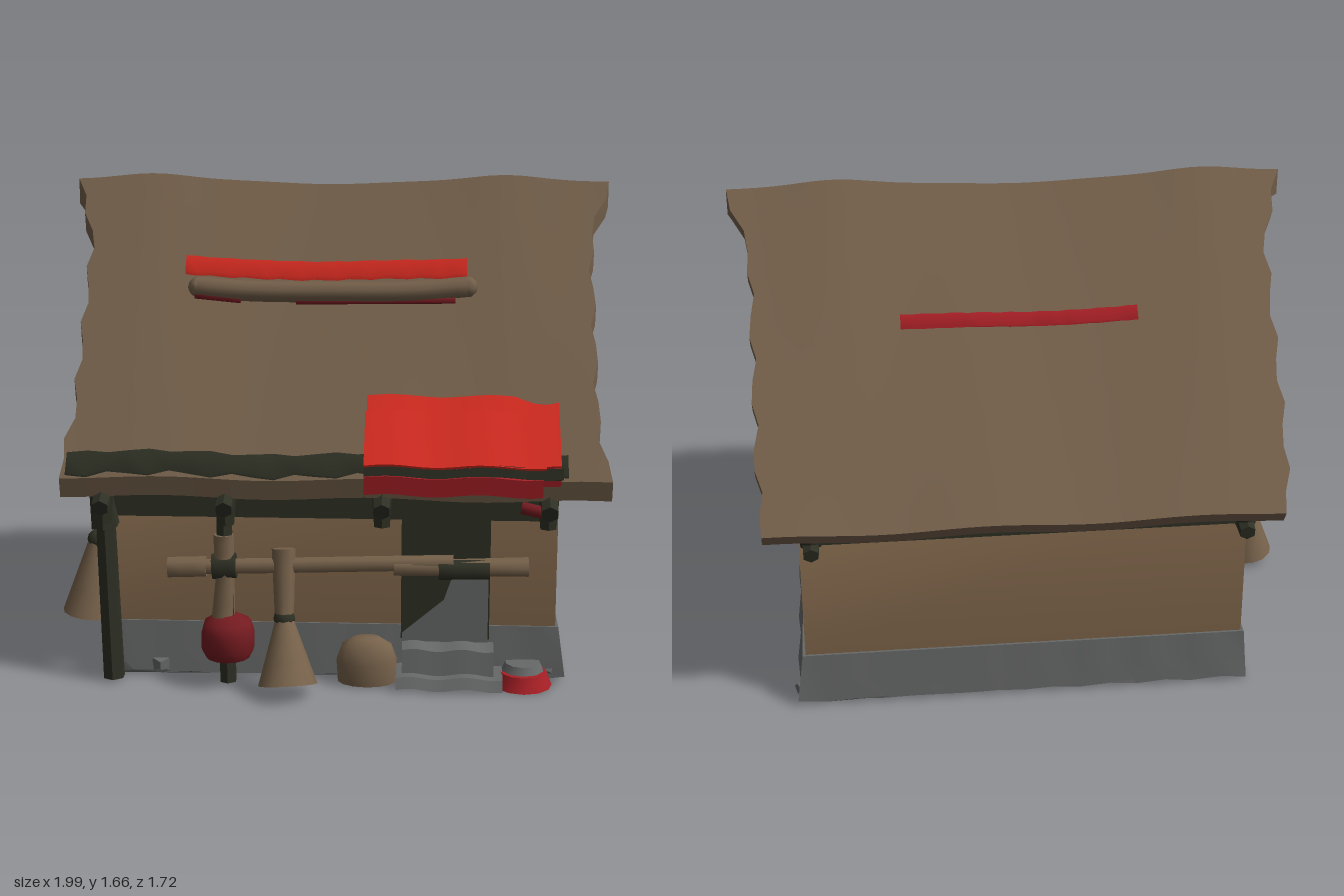
import * as THREE from 'three';
import { toCreasedNormals } from 'three/addons/utils/BufferGeometryUtils.js';

const mat = (name, color) => {
  const m = new THREE.MeshStandardMaterial({ color, side: THREE.DoubleSide });
  m.name = name;
  return m;
};

export function createModel() {
  const group = new THREE.Group();
  group.name = 'cottage';
  const thatch = mat('thatch brown', 0x735f4a);
  const plaster = mat('plaster brown', 0x7f654a);
  const wood = mat('light wood', 0x77624b);
  const dark = mat('dark timber', 0x2e3024);
  const stone = mat('stone grey', 0x676968);
  const red = mat('bright red', 0xd02a20);
  const crimson = mat('crimson', 0xa82026);
  const maroon = mat('dark red', 0x741b20);

  const add = (name, geo, material, x = 0, y = 0, z = 0) => {
    const m = new THREE.Mesh(toCreasedNormals(geo, 0.85), material);
    m.name = name;
    m.position.set(x, y, z);
    group.add(m);
    return m;
  };
  const box = (name, material, x, y, z, w, h, d) =>
    add(name, new THREE.BoxGeometry(w, h, d), material, x, y, z);
  const outline = (pts) => pts.map((p) => new THREE.Vector2(...p));
  // Tapered round bar between two points
  const bar = (name, material, a, b, ra, rb = ra, sides = 8) => {
    const p = new THREE.Vector3(...a), q = new THREE.Vector3(...b), d = q.clone().sub(p);
    const m = add(name, new THREE.CylinderGeometry(rb, ra, d.length(), sides, 3), material);
    m.position.copy(p).add(q).multiplyScalar(0.5);
    m.quaternion.setFromUnitVectors(new THREE.Vector3(0, 1, 0), d.normalize());
    return m;
  };
  // Rows of closed cross-sections; each section runs over the top, then back below
  const loft = (rows) => {
    const n = rows[0].length, idx = [];
    rows.slice(1).forEach((_, i) => {
      for (let j = 0; j < n; j++) {
        const a = i * n + j, b = i * n + (j + 1) % n, c = a + n, d = b + n;
        idx.push(a, c, b, b, c, d);
      }
    });
    for (let j = 0; j < n / 2 - 1; j++) {
      for (const [o, flip] of [[0, false], [(rows.length - 1) * n, true]]) {
        const a = o + j, b = o + j + 1, c = o + n - 2 - j, d = o + n - 1 - j;
        if (flip) idx.push(a, c, b, a, d, c); else idx.push(a, b, c, a, c, d);
      }
    }
    const g = new THREE.BufferGeometry();
    g.setAttribute('position', new THREE.Float32BufferAttribute(rows.flat(2), 3));
    g.setIndex(idx);
    return g;
  };

  // Roof rule: height of the slopes and a sagging, peaked ridge line
  const RIDGE = -0.055, FRONT = 0.72, BACK = -0.855;
  const slopeY = (z) => 1.638 - (z > RIDGE ? 1.16 : 1.12) * Math.abs(z - RIDGE);
  const roofY = (x, z) => {
    const s = z > RIDGE ? (z - RIDGE) / (FRONT - RIDGE) : (RIDGE - z) / (RIDGE - BACK);
    const wave = 0.022 * Math.exp(-(((Math.abs(x) - 0.63) / 0.17) ** 2)) - 0.014 * Math.exp(-((x / 0.25) ** 2));
    return slopeY(z) + wave * (1 - s) + 0.006 * Math.sin(x * 9) * s;
  };
  const K = 16, rows = [];
  for (let i = 0; i <= 36; i++) {
    const u = i / 36, top = [], under = [];
    for (let j = -K; j <= K; j++) {
      const s = Math.abs(j) / K;
      const z = j < 0 ? RIDGE + (FRONT - RIDGE) * s : RIDGE + (BACK - RIDGE) * s;
      const ragged = 0.012 * Math.sin(s * 34);
      const flare = 0.09 * Math.max(0, 1 - s * 5);
      // the front eave spreads, the back eave draws in
      const eave = Math.max(0, s * 5 - 4) * (j < 0 ? 0.035 : -0.015);
      const left = -0.83 - flare * 0.8 - eave + ragged;
      const right = 0.922 + flare * 0.8 + eave + ragged;
      const x = left + (right - left) * u, y = roofY(x, z);
      top.push([x, y, z]);
      // blunt front eave, sharper back eave
      under.unshift(j === 0 ? [x, y - 0.09, z] : j < 0 ? [x, y - 0.068, z - 0.014] : [x, y - 0.045, z + 0.03]);
    }
    rows.push([...top, ...under]);
  }
  add('roof', loft(rows), thatch);

  // Strip laid along a roof slope
  const roofStrip = (name, material, x0, x1, z0, z1, lift, thick, wobble = 0) => {
    const out = [];
    for (let i = 0; i <= 24; i++) {
      const x = x0 + (x1 - x0) * i / 24, w = wobble * Math.sin(i * 2.1);
      const a = z0 + w, b = z1 - w * 0.5;
      out.push([[x, roofY(x, a) + lift, a], [x, roofY(x, b) + lift, b],
        [x, roofY(x, b) + lift - thick, b], [x, roofY(x, a) + lift - thick, a]]);
    }
    return add(name, loft(out), material);
  };
  roofStrip('eaveStrip', dark, -0.84, 0.82, 0.712, 0.663, 0.008, 0.008, 0.007);
  roofStrip('frontRoofStripe', red, -0.49, 0.49, 0.212, 0.172, 0.014, 0.02, 0.002);
  roofStrip('backRoofStripe', crimson, -0.37, 0.43, -0.37, -0.4, 0.007, 0.007, 0.001);
  // Roof log with a red lower edge
  const logPath = new THREE.CatmullRomCurve3([[-0.44, 1.298, 0.252], [-0.28, 1.288, 0.262], [0.02, 1.286, 0.263],
    [0.3, 1.29, 0.262], [0.49, 1.306, 0.25]].map((p) => new THREE.Vector3(...p)));
  add('roofLog', new THREE.TubeGeometry(logPath, 24, 0.037, 10), thatch);
  bar('roofLogEdge', maroon, [-0.45, 1.276, 0.264], [-0.29, 1.262, 0.27], 0.018);
  bar('roofLogEdge', maroon, [-0.1, 1.256, 0.278], [0.45, 1.262, 0.275], 0.011);
  for (const s of [0, 1]) {
    const cap = add('logEnd', new THREE.SphereGeometry(0.037, 10, 6), thatch);
    cap.position.copy(logPath.getPoint(s));
  }

  // Bar of any side profile run along x with a gentle sag
  const run = (name, material, x0, x1, section) => {
    const out = [];
    for (let i = 0; i <= 16; i++) {
      const x = x0 + (x1 - x0) * i / 16, sag = 0.005 * Math.sin(i * 0.75);
      out.push(section.map(([z, y]) => [x, y + sag, z]));
    }
    return add(name, loft(out), material);
  };
  // Cloth over the eave: red skin, darker sides, dark front edge and a hanging hem
  run('clothUpper', crimson, 0.155, 0.795, [[0.73, 0.795], [0.515, 0.972], [0.53, 0.92], [0.72, 0.73]]);
  run('clothUpperSkin', red, 0.155, 0.795, [[0.732, 0.802], [0.515, 0.98], [0.515, 0.973], [0.73, 0.796]]);
  run('clothLower', crimson, 0.15, 0.745, [[0.755, 0.792], [0.57, 0.932], [0.57, 0.89], [0.735, 0.765]]);
  run('clothLowerSkin', red, 0.15, 0.745, [[0.757, 0.8], [0.57, 0.94], [0.57, 0.933], [0.755, 0.793]]);
  run('clothDarkEdge', dark, 0.15, 0.8, [[0.744, 0.798], [0.754, 0.8], [0.759, 0.762], [0.744, 0.757]]);
  run('clothHem', crimson, 0.15, 0.735, [[0.763, 0.762], [0.72, 0.77], [0.7, 0.7], [0.757, 0.7]]);

  // Gabled walls
  const gable = new THREE.Shape(outline([[-0.575, 0.18], [-0.575, 0.8], [0.055, 1.55], [0.72, 0.805], [0.73, 0.18]]));
  const walls = add('walls', new THREE.ExtrudeGeometry(gable, { depth: 1.51, bevelEnabled: false }), plaster, -0.71);
  walls.rotation.y = Math.PI / 2;

  // Hollow stone base, flared and rough at the foot
  const ring = (w, d, n) => {
    const corners = [[-w, -d], [w, -d], [w, d], [-w, d]], pts = [];
    corners.forEach(([x, z], c) => {
      const [x2, z2] = corners[(c + 1) % 4];
      for (let i = 0; i < n; i++) pts.push([x + (x2 - x) * i / n, z + (z2 - z) * i / n]);
    });
    return outline(pts);
  };
  const baseShape = new THREE.Shape(ring(0.765, 0.66, 16));
  baseShape.holes.push(new THREE.Path(ring(0.7, 0.6, 12)));
  const baseGeo = new THREE.ExtrudeGeometry(baseShape, { depth: 0.19, steps: 2, bevelEnabled: false });
  baseGeo.rotateX(-Math.PI / 2);
  const bp = baseGeo.attributes.position;
  for (let i = 0; i < bp.count; i++) {
    const x = bp.getX(i), y = bp.getY(i), z = bp.getZ(i), f = 1 - y / 0.19;
    const h = 0.5 + 0.5 * Math.sin(x * 31 + z * 23);
    bp.setXYZ(i, x * (1 + (0.02 + 0.012 * h) * f), y + 0.02 * h * f, z * (1 + (0.015 + 0.02 * h) * f));
  }
  add('stoneBase', baseGeo, stone, 0.045, 0.004, -0.078);
  box('underside', dark, 0.045, 0.04, -0.078, 1.46, 0.01, 1.26);

  // Timber bands under the eaves
  box('frontBeam', dark, 0.045, 0.655, 0.582, 1.5, 0.17, 0.02);
  box('backBeam', dark, 0.045, 0.71, -0.732, 1.5, 0.14, 0.025);
  for (const x of [-0.7, 0.76]) {
    bar('backBracket', dark, [x, 0.64, -0.72], [x, 0.74, -0.765], 0.04, 0.035, 6);
    bar('backPeg', dark, [x, 0.64, -0.7], [x, 0.625, -0.785], 0.033, 0.028, 6);
  }
  for (const x of [-0.72, -0.31, 0.21, 0.76]) {
    bar('frontBracket', dark, [x, 0.7, 0.57], [x, 0.64, 0.75], 0.035, 0.03, 6);
    bar('bracketHead', dark, [x, 0.57, 0.67], [x, 0.7, 0.67], 0.03, 0.04, 6);
  }
  bar('bracketCap', maroon, [0.67, 0.645, 0.69], [0.75, 0.63, 0.7], 0.022);

  // Doorway with a pale lower panel and steps
  box('door', dark, 0.425, 0.42, 0.586, 0.3, 0.54, 0.018);
  const panel = new THREE.Shape(outline([[0.28, 0.14], [0.57, 0.14], [0.57, 0.41], [0.46, 0.41], [0.42, 0.29], [0.28, 0.17]]));
  add('doorPanel', new THREE.ExtrudeGeometry(panel, { depth: 0.006, bevelEnabled: false }), stone, 0, 0, 0.594);
  run('doorStep', stone, 0.28, 0.59, [[0.66, 0.13], [0.57, 0.145], [0.57, 0.01], [0.68, 0.01]]);
  run('lowerStep', stone, 0.26, 0.62, [[0.7, 0.045], [0.6, 0.06], [0.6, 0.01], [0.72, 0.01]]);

  // Porch posts
  bar('cornerPost', dark, [-0.705, 0.01, 0.64], [-0.72, 0.56, 0.64], 0.038, 0.035, 6);
  bar('cornerPostTop', dark, [-0.72, 0.55, 0.645], [-0.735, 0.68, 0.65], 0.05, 0.038, 6);
  bar('middlePost', dark, [-0.31, 0.01, 0.66], [-0.32, 0.7, 0.655], 0.03, 0.028, 6);
  bar('postSleeve', wood, [-0.325, 0.23, 0.66], [-0.315, 0.41, 0.66], 0.04, 0.03);
  bar('postSleeveTop', wood, [-0.32, 0.45, 0.66], [-0.32, 0.53, 0.66], 0.034);

  // Rail across the front
  bar('rail', wood, [-0.5, 0.41, 0.655], [0.45, 0.44, 0.65], 0.027);
  bar('railEnd', wood, [-0.51, 0.41, 0.655], [-0.38, 0.415, 0.655], 0.036);
  bar('railTip', wood, [0.25, 0.42, 0.66], [0.7, 0.425, 0.64], 0.026, 0.034);
  bar('railBinding', dark, [0.4, 0.415, 0.658], [0.57, 0.418, 0.654], 0.034);
  bar('railKnot', dark, [-0.36, 0.415, 0.655], [-0.28, 0.42, 0.655], 0.045);

  // Red pot on the middle post
  const potProfile = [[0, 0.1], [0.075, 0.1], [0.09, 0.13], [0.09, 0.19], [0.08, 0.225], [0.035, 0.25], [0, 0.25]];
  add('redPot', new THREE.LatheGeometry(outline(potProfile), 14), maroon, -0.31, 0, 0.66);

  // Brooms: bent handle, binding and a flared head
  const broom = (name, top, neck, foot, r) => {
    bar(name + 'Handle', wood, neck, top, 0.032, 0.04);
    bar(name + 'Head', wood, foot, neck, r, 0.03, 12);
    add(name + 'Binding', new THREE.SphereGeometry(0.037, 8, 6), dark, ...neck);
  };
  broom('frontBroom', [-0.12, 0.48, 0.65], [-0.115, 0.25, 0.7], [-0.1, 0.04, 0.765], 0.1);
  broom('sideBroom', [-0.74, 0.4, 0.02], [-0.86, 0.31, 0.03], [-0.905, 0.025, 0.035], 0.09);
  bar('sideBroomPeg', wood, [-0.7, 0.36, 0], [-0.86, 0.41, 0.03], 0.03, 0.035);

  // Sack, mat and loose stones by the wall
  const sackProfile = [[0, 0], [0.1, 0.005], [0.105, 0.08], [0.085, 0.135], [0.045, 0.16], [0, 0.162]];
  add('sack', new THREE.LatheGeometry(outline(sackProfile), 14), wood, 0.16, 0, 0.62).scale.z = 0.7;
  add('redMat', new THREE.CylinderGeometry(0.08, 0.1, 0.05, 12), crimson, 0.69, 0.026, 0.62);
  add('matStone', new THREE.CylinderGeometry(0.06, 0.075, 0.03, 10), stone, 0.69, 0.062, 0.61);
  [[-0.55, 0.57], [0.78, 0.56], [0.8, -0.7], [-0.69, -0.69]].forEach(([x, z], i) => {
    const rock = add('looseStone', new THREE.DodecahedronGeometry(0.045), stone, x, 0.04, z);
    rock.rotation.y = i * 1.3;
    rock.scale.y = 0.8;
  });
  return group;
}
